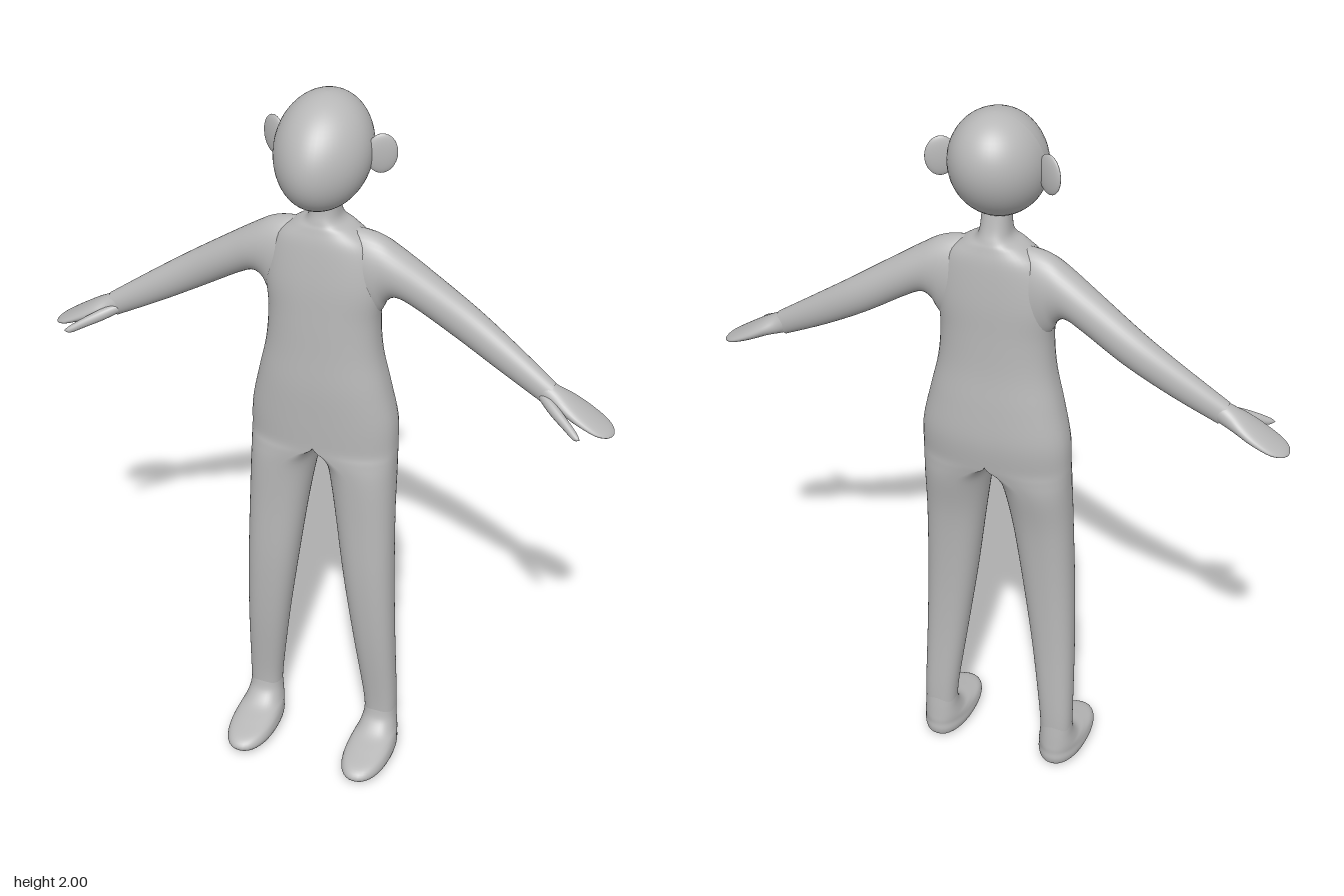
import * as THREE from 'three';

const grey = new THREE.MeshStandardMaterial({ color: 0xb8b8b8 });
grey.name = 'plain grey';

const power = (v, e) => Math.sign(v) * Math.abs(v) ** e;

// Catmull-Rom subdivision of a table of section values
function refine(rows, steps) {
  const out = [];
  for (let i = 0; i < rows.length - 1; i++) {
    const [a, b, c, d] = [rows[Math.max(i - 1, 0)], rows[i], rows[i + 1], rows[Math.min(i + 2, rows.length - 1)]];
    for (let s = 0; s < steps; s++) {
      const t = s / steps;
      out.push(b.map((v, k) => v + 0.5 * t * (c[k] - a[k]
        + t * (2 * a[k] - 5 * v + 4 * c[k] - d[k] + t * (3 * (v - c[k]) + d[k] - a[k])))));
    }
  }
  out.push(rows[rows.length - 1]);
  return out;
}

// Skin over sections; point(row, angle) gives one corner. side -1 mirrors it.
function loft(rows, point, side, sides = 36, steps = 5) {
  const rings = refine(rows, steps);
  const pos = [], index = [];
  for (const r of rings) {
    for (let j = 0; j < sides; j++) {
      const [x, y, z] = point(r, (j / sides) * Math.PI * 2);
      pos.push(x * side, y, z);
    }
  }
  // triangles lying in the middle plane are inside the body and left out
  const tri = (a, b, c) => {
    if ([a, b, c].every((k) => Math.abs(pos[k * 3]) < 1e-5)) return;
    if (side > 0) index.push(a, b, c); else index.push(a, c, b);
  };
  for (let i = 0; i < rings.length - 1; i++) {
    for (let j = 0; j < sides; j++) {
      const k = (j + 1) % sides;
      const a = i * sides + j, b = i * sides + k;
      tri(a, b, a + sides);
      tri(b, b + sides, a + sides);
    }
  }
  const g = new THREE.BufferGeometry();
  g.setAttribute('position', new THREE.Float32BufferAttribute(pos, 3));
  g.setIndex(index);
  g.computeVertexNormals();
  // both halves meet smoothly along the middle plane
  const n = g.attributes.normal, v = new THREE.Vector3();
  for (let i = 0; i < n.count; i++) {
    if (Math.abs(pos[i * 3]) > 1e-5) continue;
    v.fromBufferAttribute(n, i).setX(0).normalize();
    n.setXYZ(i, v.x, v.y, v.z);
  }
  return g;
}

// Level section: [y, inner x, middle x, outer x, back z, front z]
const levelPoint = (e) => ([y, inner, mid, outer, back, front], t) => {
  const i = Math.max(inner, 0), m = Math.max(mid, 0);
  const c = power(Math.cos(t), e), s = power(Math.sin(t), e);
  const x = Math.abs(c) < 1e-6 ? m : m + c * (c > 0 ? outer - m : m - i);
  return [x, y, (back + front) / 2 + s * (front - back) / 2];
};

// Limb section: [top x, top y, bottom x, bottom y, centre z, half depth]
const limbPoint = ([tx, ty, bx, by, z, d], t) => {
  const c = Math.cos(t) / 2;
  return [(tx + bx) / 2 + c * (tx - bx), (ty + by) / 2 + c * (ty - by), z + d * Math.sin(t)];
};

const BODY = [
  [1.78, 0, 0, 0.036, -0.075, -0.005],
  [1.70, 0, 0, 0.038, -0.092, -0.005],
  [1.665, 0, 0, 0.048, -0.105, 0.003],
  [1.645, 0, 0, 0.085, -0.112, 0.01],
  [1.60, 0, 0, 0.135, -0.122, 0.022],
  [1.50, 0, 0, 0.158, -0.13, 0.036],
  [1.40, 0, 0, 0.15, -0.131, 0.042],
  [1.30, 0, 0, 0.157, -0.134, 0.046],
  [1.20, 0, 0, 0.179, -0.143, 0.05],
  [1.10, 0, 0, 0.2, -0.148, 0.048],
  [1.02, 0, 0, 0.203, -0.14, 0.045],
  [0.985, 0.012, 0.05, 0.203, -0.133, 0.044],
  [0.93, 0.024, 0.1, 0.203, -0.122, 0.042],
  [0.80, 0.044, 0.124, 0.205, -0.097, 0.04],
  [0.60, 0.071, 0.14, 0.21, -0.081, 0.04],
  [0.40, 0.099, 0.157, 0.215, -0.076, 0.028],
  [0.20, 0.125, 0.172, 0.219, -0.08, 0.005],
  [0.13, 0.131, 0.175, 0.219, -0.08, 0],
];

const FOOT = [
  [0.145, 0.131, 0.175, 0.219, -0.08, 0],
  [0.11, 0.129, 0.175, 0.221, -0.083, 0.01],
  [0.08, 0.123, 0.175, 0.227, -0.085, 0.045],
  [0.065, 0.117, 0.175, 0.233, -0.086, 0.1],
  [0.05, 0.112, 0.175, 0.238, -0.086, 0.16],
  [0.03, 0.11, 0.175, 0.24, -0.087, 0.18],
  [0.012, 0.118, 0.175, 0.232, -0.08, 0.165],
  [0.002, 0.138, 0.175, 0.212, -0.055, 0.13],
  [0, 0.175, 0.175, 0.175, 0.04, 0.04],
];

const ARM = [
  [0.05, 1.645, 0.10, 1.37, -0.052, 0.055],
  [0.10, 1.645, 0.15, 1.42, -0.053, 0.058],
  [0.15, 1.632, 0.168, 1.455, -0.055, 0.056],
  [0.20, 1.602, 0.195, 1.47, -0.058, 0.053],
  [0.28, 1.548, 0.24, 1.45, -0.064, 0.048],
  [0.40, 1.465, 0.35, 1.382, -0.07, 0.041],
  [0.51, 1.388, 0.47, 1.314, -0.063, 0.034],
  [0.62, 1.31, 0.595, 1.25, -0.05, 0.026],
];

const HAND = [
  [0.59, 1.325, 0.57, 1.268, -0.052, 0.025],
  [0.625, 1.304, 0.605, 1.252, -0.05, 0.03],
  [0.66, 1.284, 0.645, 1.24, -0.05, 0.043],
  [0.70, 1.258, 0.688, 1.222, -0.05, 0.05],
  [0.745, 1.228, 0.737, 1.204, -0.049, 0.047],
  [0.77, 1.211, 0.765, 1.198, -0.048, 0.032],
  [0.779, 1.202, 0.777, 1.197, -0.048, 0.013],
  [0.78, 1.198, 0.78, 1.198, -0.048, 0],
];

const THUMB = [
  [0.59, 1.292, 0.585, 1.265, -0.04, 0.015],
  [0.63, 1.277, 0.622, 1.247, -0.012, 0.017],
  [0.672, 1.255, 0.665, 1.23, 0.016, 0.014],
  [0.705, 1.234, 0.699, 1.217, 0.037, 0.01],
  [0.716, 1.223, 0.716, 1.223, 0.045, 0],
];

// Egg-shaped head, leaning back a little and narrower at the face
function headGeometry() {
  const g = new THREE.SphereGeometry(1, 48, 32);
  const p = g.attributes.position;
  for (let i = 0; i < p.count; i++) {
    const x = p.getX(i), y = p.getY(i), z = p.getZ(i);
    const narrow = 1 - 0.15 * Math.max(z, 0) ** 2;
    p.setXYZ(i, x * 0.124 * narrow, 1.856 + y * 0.144, -0.033 + z * 0.145 - y * 0.025);
  }
  g.computeVertexNormals();
  return g;
}

export function createModel() {
  const model = new THREE.Group();
  model.name = 'figure';
  const add = (name, geometry) => {
    const mesh = new THREE.Mesh(geometry, grey);
    mesh.name = name;
    model.add(mesh);
    return mesh;
  };

  add('head', headGeometry());

  for (const [label, side] of [['left', 1], ['right', -1]]) {
    add(label + 'BodyAndLeg', loft(BODY, levelPoint(0.85), side, 48));
    add(label + 'Foot', loft(FOOT, levelPoint(0.9), side));
    add(label + 'Arm', loft(ARM, limbPoint, side));
    add(label + 'Hand', loft(HAND, limbPoint, side));
    add(label + 'Thumb', loft(THUMB, limbPoint, side, 20));

    // flat oval ears swept back
    const ear = add(label + 'Ear', new THREE.SphereGeometry(1, 28, 20));
    ear.scale.set(0.04, 0.053, 0.011);
    ear.rotation.y = side * 0.5;
    ear.position.set(side * 0.142, 1.858, -0.062);
  }
  return model;
}
